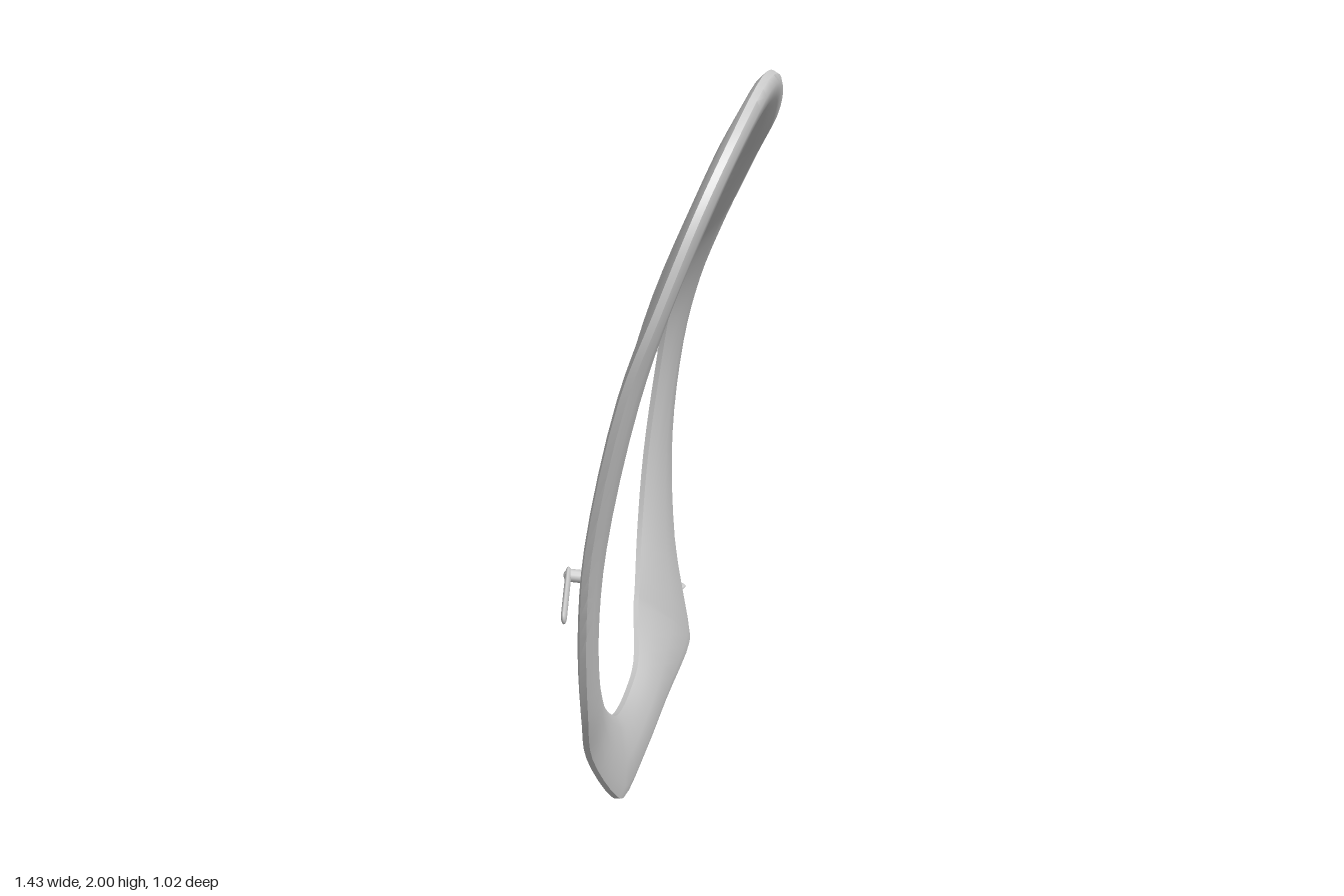
import * as THREE from 'three';
import { toCreasedNormals } from 'three/addons/utils/BufferGeometryUtils.js';

const material = new THREE.MeshStandardMaterial({ color: 0xcccccc });
const v = (p) => new THREE.Vector3(...p);

// Outer and inner rim of the frame, clockwise from the top
const outerRim = [
  [-0.23, 2.0, 0.4], [0, 1.95, 0.28], [0.2, 1.83, 0.14], [0.32, 1.7, 0.01],
  [0.42, 1.57, -0.11], [0.5, 1.43, -0.22], [0.58, 1.22, -0.36], [0.62, 1.0, -0.45],
  [0.615, 0.7, -0.485], [0.62, 0.35, -0.475], [0.65, 0.03, -0.44], [0.635, 0.01, -0.43],
  [0.3, 0.017, -0.27], [0.05, 0.02, -0.15], [-0.19, 0.025, -0.045], [-0.24, 0.06, -0.03],
  [-0.4, 0.27, 0.02], [-0.5, 0.46, 0.09], [-0.6, 0.74, 0.17], [-0.66, 1.0, 0.24],
  [-0.7, 1.4, 0.37], [-0.68, 1.6, 0.445], [-0.6, 1.8, 0.49], [-0.45, 1.94, 0.48],
];
const innerRim = [
  [-0.23, 1.91, 0.35], [-0.02, 1.86, 0.23], [0.16, 1.73, 0.08], [0.25, 1.64, -0.02],
  [0.33, 1.51, -0.13], [0.4, 1.35, -0.26], [0.45, 1.15, -0.36], [0.465, 0.95, -0.41],
  [0.44, 0.69, -0.435], [0.39, 0.48, -0.42], [0.31, 0.33, -0.37], [0.285, 0.3, -0.355],
  [0.16, 0.21, -0.26], [0.03, 0.195, -0.19], [-0.12, 0.225, -0.11], [-0.18, 0.255, -0.08],
  [-0.28, 0.34, -0.03], [-0.39, 0.48, 0.03], [-0.49, 0.7, 0.1], [-0.55, 0.97, 0.18],
  [-0.6, 1.36, 0.31], [-0.57, 1.6, 0.37], [-0.47, 1.8, 0.41], [-0.38, 1.875, 0.4],
];

// Cross-section: share of the width from inner to outer rim, offset along the normal
const section = [
  [1, 0.008], [0.85, 0.023], [0.5, 0.03], [0.15, 0.021], [0, 0.007],
  [0, -0.008], [0.2, -0.015], [0.8, -0.015], [1, -0.008],
];

function frameGeometry() {
  const outer = new THREE.CatmullRomCurve3(outerRim.map(v), true);
  const inner = new THREE.CatmullRomCurve3(innerRim.map(v), true);
  const count = outerRim.length * 4;
  const m = section.length;
  const positions = [], index = [];
  for (let i = 0; i < count; i++) {
    const t = i / count;
    const o = outer.getPoint(t), n = inner.getPoint(t);
    const width = o.clone().sub(n);
    const along = outer.getTangent(t).add(inner.getTangent(t));
    const normal = along.cross(width).normalize();
    section.forEach(([s, d], j) => {
      const p = n.clone().addScaledVector(width, s).addScaledVector(normal, d);
      positions.push(p.x, Math.max(p.y, 0), p.z);
      const k = (j + 1) % m, next = (i + 1) % count;
      const a = i * m + j, b = i * m + k, c = next * m + k, e = next * m + j;
      index.push(a, b, c, a, c, e);
    });
  }
  const geometry = new THREE.BufferGeometry();
  geometry.setAttribute('position', new THREE.Float32BufferAttribute(positions, 3));
  geometry.setIndex(index);
  return toCreasedNormals(geometry, 0.8);
}

// Rounded tab from a to b, with its own height and depth
function tab(name, a, b, height, depth) {
  const from = v(a), to = v(b);
  const dir = to.clone().sub(from);
  const length = dir.length();
  dir.normalize();
  const side = dir.clone().cross(new THREE.Vector3(0, 1, 0)).normalize();
  const up = side.clone().cross(dir);
  const radius = Math.max(height, depth) / 2;
  const geometry = new THREE.CapsuleGeometry(radius, length - 2 * radius, 5, 12);
  geometry.scale(depth / 2 / radius, 1, height / 2 / radius);
  geometry.applyMatrix4(new THREE.Matrix4().makeBasis(side, dir, up));
  geometry.translate(...from.add(to).multiplyScalar(0.5).toArray());
  const mesh = new THREE.Mesh(geometry, material);
  mesh.name = name;
  return mesh;
}

export function createModel() {
  const model = new THREE.Group();
  model.name = 'curvedFrame';

  const frame = new THREE.Mesh(frameGeometry(), material);
  frame.name = 'frame';
  model.add(frame);

  // Two hinge tabs on the straight side
  [['upper', 0.982], ['lower', 0.155]].forEach(([level, y]) => {
    const hinge = new THREE.Group();
    hinge.name = level + 'HingeTab';
    hinge.add(
      tab('blade', [0.5, y - 0.004, -0.465], [0.71, y, -0.503], 0.012, 0.036),
      tab('stem', [0.57, y, -0.43], [0.565, y, -0.49], 0.022, 0.022),
    );
    model.add(hinge);
  });

  // Latch on the opposite side
  const latch = new THREE.Group();
  latch.name = 'latch';
  latch.add(
    tab('handle', [-0.59, 0.9, 0.125], [-0.72, 0.845, 0.213], 0.036, 0.014),
    tab('stem', [-0.57, 0.885, 0.18], [-0.61, 0.893, 0.125], 0.03, 0.03),
  );
  model.add(latch);
  return model;
}
